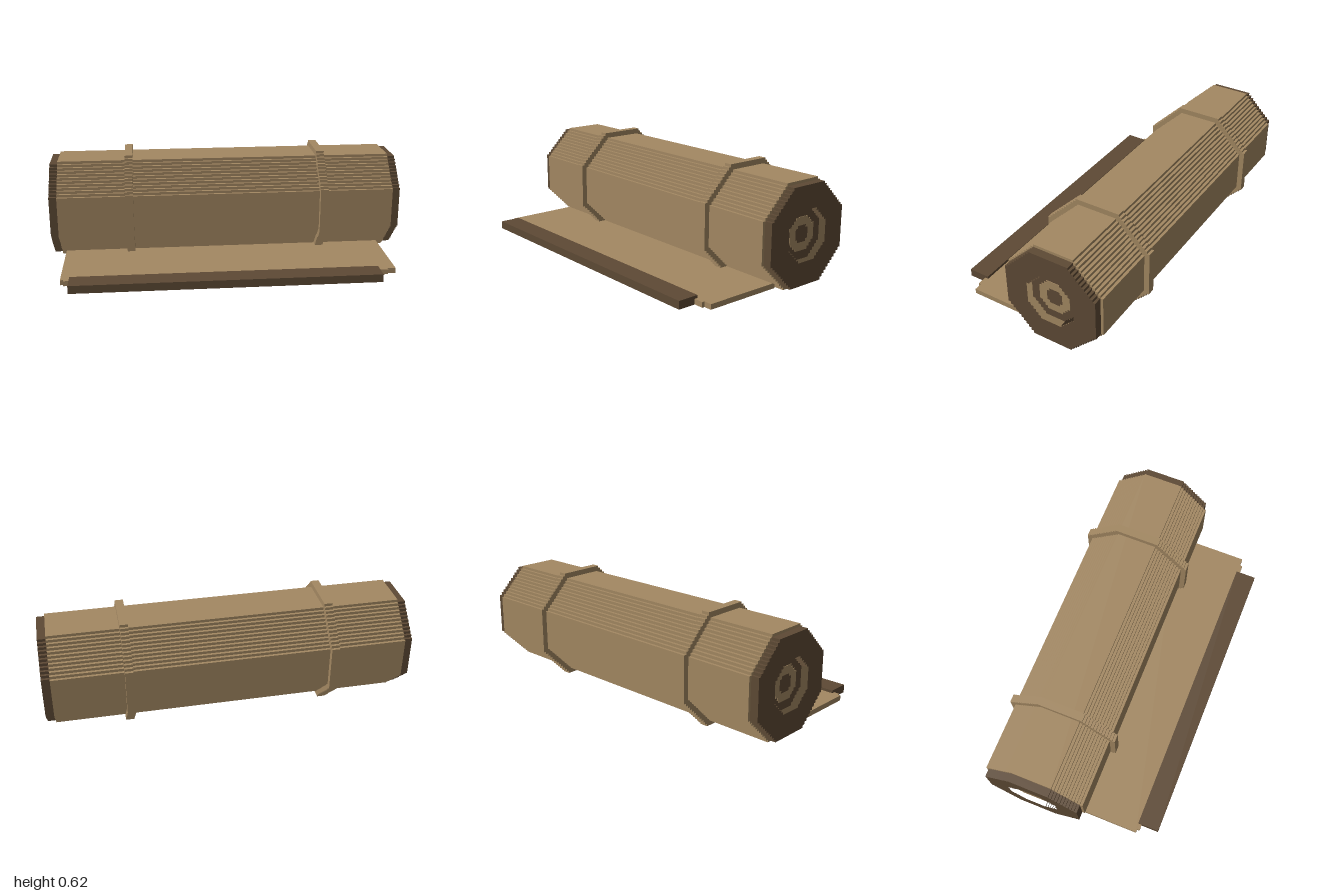
import * as THREE from 'three';

const CY = 0.31, CZ = -0.19; // roll axis

// Octagon whose diagonal sides are cut into n small square steps
function steppedPoints(half, flat, n) {
  const s = (half - flat) / n, quarter = [new THREE.Vector2(flat, half)];
  for (let i = 0; i < n; i++) {
    quarter.push(new THREE.Vector2(flat + i * s, half - (i + 1) * s));
    quarter.push(new THREE.Vector2(flat + (i + 1) * s, half - (i + 1) * s));
  }
  const points = [];
  let q = quarter;
  for (let k = 0; k < 4; k++) {
    points.push(...q);
    q = q.map(p => new THREE.Vector2(p.y, -p.x));
  }
  return points;
}

export function createModel() {
  const model = new THREE.Group();
  const tan = new THREE.MeshStandardMaterial({ name: 'parchment tan', color: 0xa38862 });
  const brown = new THREE.MeshStandardMaterial({ name: 'dark brown', color: 0x5e4a35 });

  // Stepped prism along x, with an optional stepped hole
  function prism(name, material, x0, x1, outer, hole) {
    const shape = new THREE.Shape(steppedPoints(...outer));
    if (hole) shape.holes.push(new THREE.Path(steppedPoints(...hole)));
    const geo = new THREE.ExtrudeGeometry(shape, { depth: x1 - x0, bevelEnabled: false });
    geo.rotateY(Math.PI / 2).translate(x0, CY, CZ);
    const mesh = new THREE.Mesh(geo, material);
    mesh.name = name;
    model.add(mesh);
  }

  function box(name, material, x0, x1, y0, y1, z0, z1) {
    const mesh = new THREE.Mesh(new THREE.BoxGeometry(x1 - x0, y1 - y0, z1 - z0), material);
    mesh.position.set((x0 + x1) / 2, (y0 + y1) / 2, (z0 + z1) / 2);
    mesh.name = name;
    model.add(mesh);
  }

  const hole = [0.137, 0.062, 5], ring = [0.09, 0.045, 3], core = [0.045, 0.03, 1];

  // Rolled body
  prism('roll', tan, -0.955, 0.955, [0.28, 0.115, 11]);

  for (const side of [-1, 1]) {
    const name = side > 0 ? 'left' : 'right';
    const slab = (part, material, a, b, outer, inner) =>
      prism(name + part, material, Math.min(side * a, side * b), Math.max(side * a, side * b), outer, inner);
    // Strap around the roll
    slab('Strap', tan, 0.53, 0.575, [0.31, 0.13, 12]);
    // End cap with a recess showing the ringed core
    slab('EndCap', brown, 0.955, 1, [0.265, 0.115, 10], hole);
    slab('RecessFloor', brown, 0.95, 0.958, hole);
    slab('CoreRing', tan, 0.957, 0.961, ring, core);
    slab('Core', brown, 0.957, 0.961, core);
  }

  // Unrolled sheet, its worn lip and the weighted end bar
  box('sheet', tan, -0.93, 0.91, 0.031, 0.06, -0.06, 0.385);
  box('sheetLip', tan, -0.912, 0.865, 0.031, 0.06, 0.385, 0.4);
  box('endBar', brown, -0.88, 0.81, 0.03, 0.075, 0.38, 0.5);

  return model;
}
